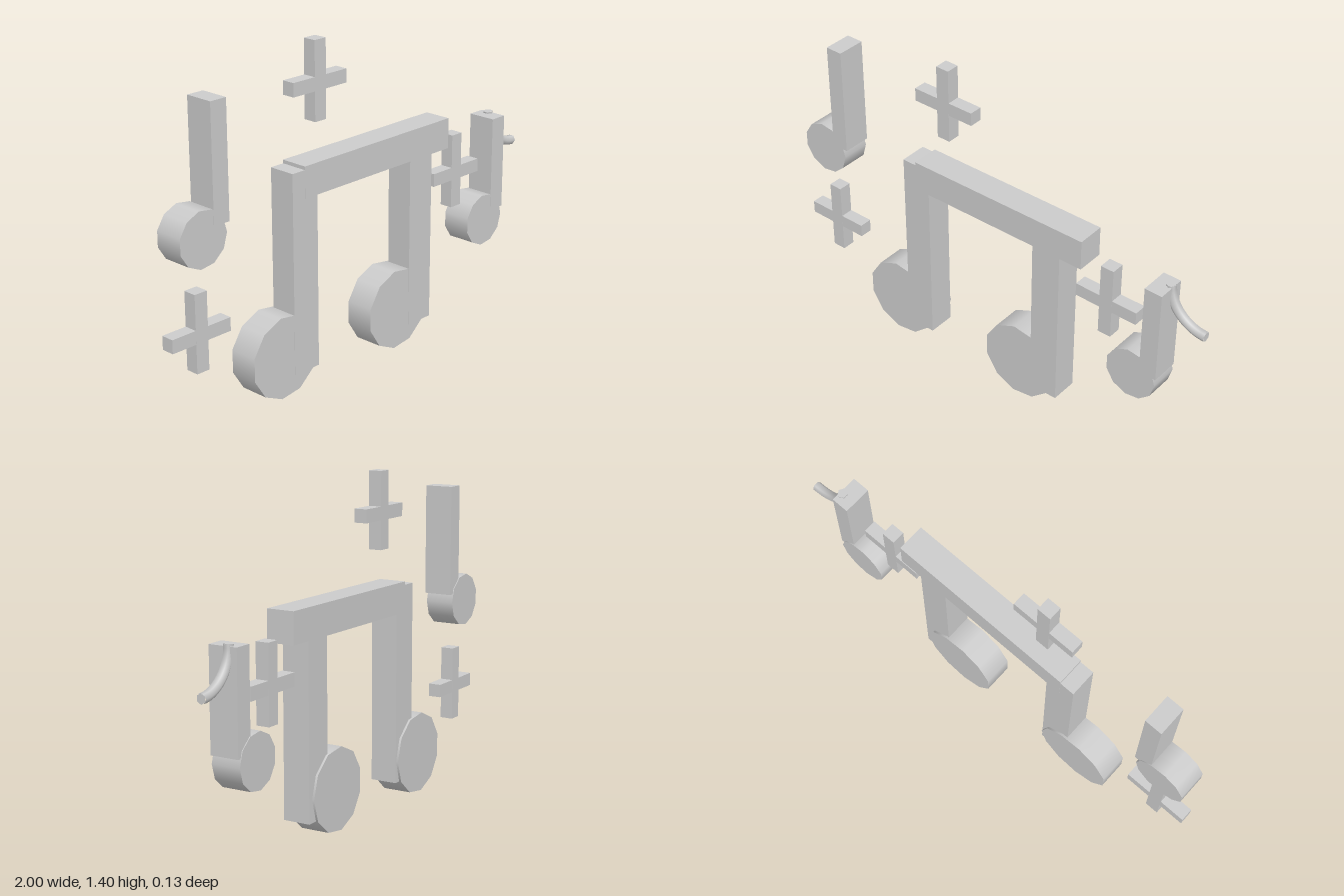
import * as THREE from 'three';

const material = new THREE.MeshStandardMaterial({ color: 0xcccccc });

function add(parent, name, geometry, x = 0, y = 0, z = 0) {
  const mesh = new THREE.Mesh(geometry, material);
  mesh.name = name;
  mesh.position.set(x, y, z);
  parent.add(mesh);
  return mesh;
}

// Box given by its extents
function block(parent, name, x0, x1, y0, y1, z0, z1) {
  return add(parent, name, new THREE.BoxGeometry(x1 - x0, y1 - y0, z1 - z0),
    (x0 + x1) / 2, (y0 + y1) / 2, (z0 + z1) / 2);
}

// Eleven-sided disc facing the front, with one corner pointing to +x
function noteHead(parent, x, y, radius) {
  const disc = new THREE.CylinderGeometry(radius, radius, 0.125, 11, 1, false, Math.PI / 2);
  disc.rotateX(Math.PI / 2);
  add(parent, 'noteHead', disc, x, y, -0.001);
}

function group(parent, name) {
  const g = new THREE.Group();
  g.name = name;
  parent.add(g);
  return g;
}

export function createModel() {
  const model = new THREE.Group();
  model.name = 'musicNotes';

  // Large pair of notes joined by a beam
  const pair = group(model, 'beamedNotes');
  noteHead(pair, -0.466, 0.178, 0.174);
  noteHead(pair, 0.18, 0.178, 0.174);
  block(pair, 'leftStem', -0.42, -0.289, 0.085, 0.92, -0.054, 0.063);
  block(pair, 'rightStem', 0.243, 0.374, 0.085, 0.86, -0.054, 0.063);
  const beam = block(pair, 'beam', -0.355, 0.476, 0.807, 0.937, -0.055, 0.064);
  beam.rotation.z = 0.006;

  // Small note without a flag
  const plain = group(model, 'plainNote');
  noteHead(plain, -0.867, 0.783, 0.114);
  block(plain, 'stem', -0.816, -0.741, 0.82, 1.29, -0.06, 0.063);

  // Small note with a curved flag
  const flagged = group(model, 'flaggedNote');
  noteHead(flagged, 0.727, 0.424, 0.114);
  block(flagged, 'stem', 0.768, 0.845, 0.457, 0.868, -0.06, 0.063);

  // Flag: quarter-circle tube with closed ends
  const points = [];
  for (let i = 0; i <= 8; i++) {
    const a = Math.PI + (i / 8) * Math.PI / 2;
    points.push(new THREE.Vector3(1 + 0.168 * Math.cos(a), 0.876 + 0.168 * Math.sin(a), -0.016));
  }
  const curve = new THREE.CatmullRomCurve3(points);
  const flag = group(flagged, 'flag');
  add(flag, 'flagTube', new THREE.TubeGeometry(curve, 16, 0.021, 6, false));
  const tip = new THREE.CircleGeometry(0.021, 6);
  add(flag, 'flagTip', tip.clone().rotateZ(Math.PI / 2).rotateY(Math.PI / 2), 1, 0.708, -0.016);
  add(flag, 'flagTop', tip.clone().rotateX(-Math.PI / 2), 0.832, 0.876, -0.016);

  // Floating plus-shaped sparkles
  for (const [x, y] of [[-0.233, 1.23], [0.574, 0.669], [-0.861, 0.393]]) {
    const sparkle = group(model, 'sparkle');
    sparkle.position.set(x, y, 0);
    add(sparkle, 'upright', new THREE.BoxGeometry(0.059, 0.32, 0.057), 0, 0.011, 0);
    add(sparkle, 'crossbar', new THREE.BoxGeometry(0.284, 0.056, 0.056));
  }

  return model;
}
